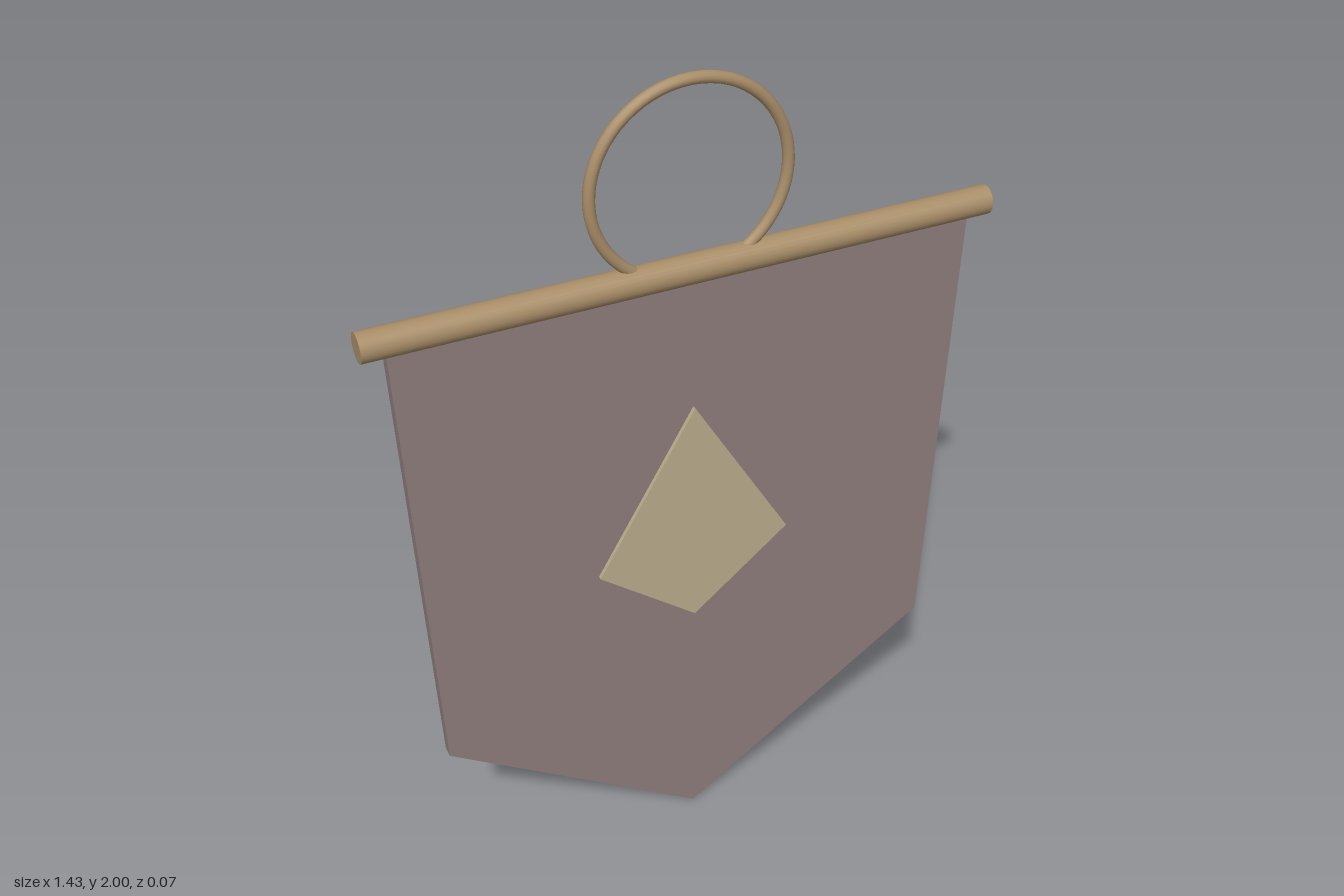
import * as THREE from 'three';

const material = (name, color) => {
  const m = new THREE.MeshStandardMaterial({ color });
  m.name = name;
  return m;
};

export function createModel() {
  const group = new THREE.Group();
  group.name = 'hangingBanner';
  const brass = material('brass', 0xa88d68);
  const cloth = material('mauveCloth', 0x8e7d7c);
  const cream = material('cream', 0xbaad8c);

  const add = (name, geometry, mat, y = 0, z = 0) => {
    const mesh = new THREE.Mesh(geometry, mat);
    mesh.name = name;
    mesh.position.set(0, y, z);
    group.add(mesh);
    return mesh;
  };
  // Flat panel from an outline of [x, y] points
  const panel = (points, depth) => new THREE.ExtrudeGeometry(
    new THREE.Shape(points.map(([x, y]) => new THREE.Vector2(x, y))),
    { depth, bevelEnabled: false });

  // Pointed cloth, its top edge tucked inside the rod
  add('cloth', panel([[0, 0], [0.623, 0.425], [0.661, 1.565], [-0.661, 1.565], [-0.623, 0.425]], 0.03),
    cloth, 0, -0.015);

  // Kite emblem on the front of the cloth
  add('emblem', panel([[0, 0.642], [0.235, 0.83], [0, 1.23], [-0.235, 0.83]], 0.0099), cream, 0, 0.015);

  // Horizontal rod
  const rod = add('rod', new THREE.CylinderGeometry(0.033, 0.033, 1.426, 24), brass, 1.565);
  rod.rotation.z = Math.PI / 2;

  // Hanging ring, its lowest part buried in the rod
  add('hangingRing', new THREE.TorusGeometry(0.22, 0.013, 12, 64), brass, 1.767);

  return group;
}
